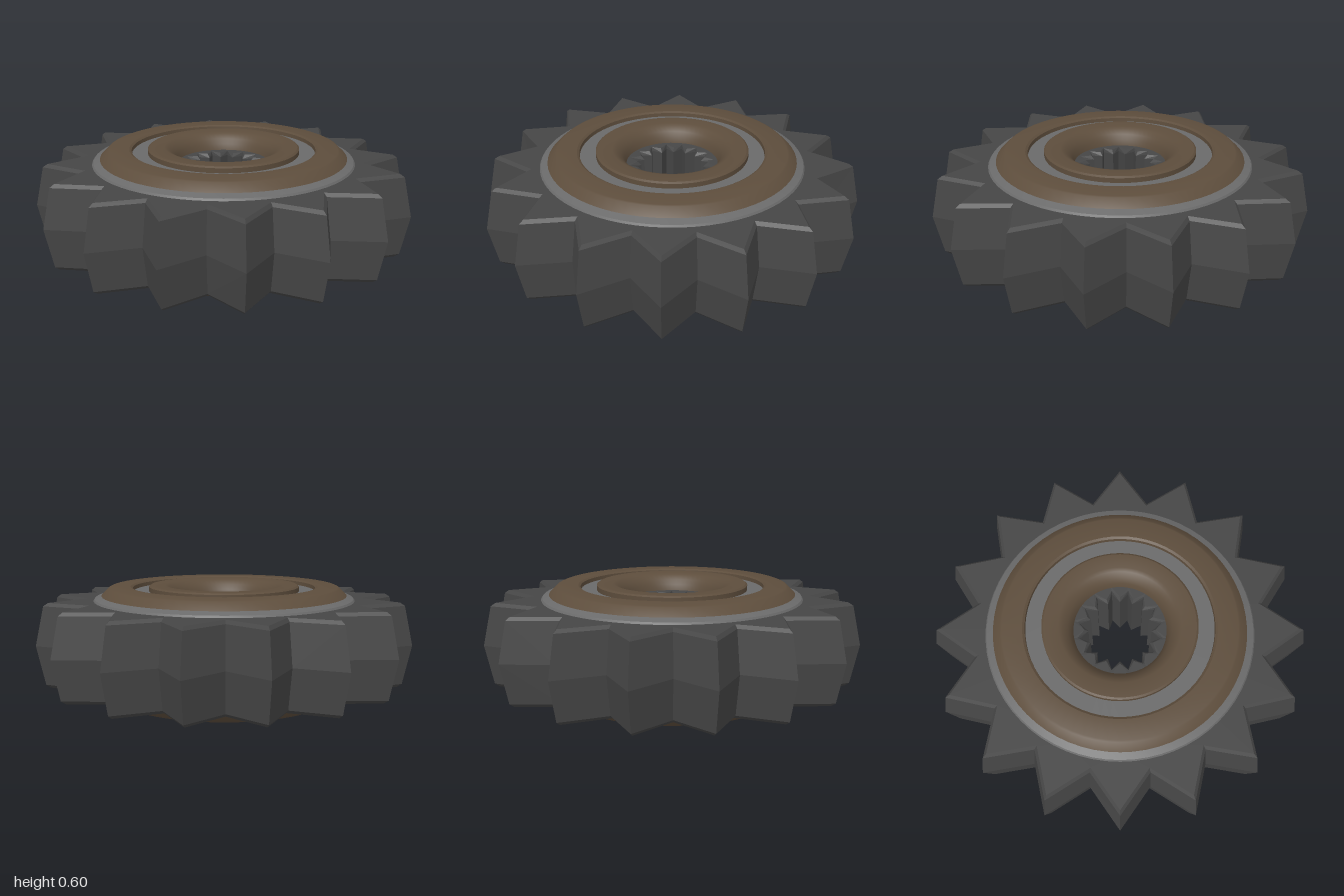
import * as THREE from 'three';
import { toCreasedNormals } from 'three/addons/utils/BufferGeometryUtils.js';

const TEETH = 16;
const HEIGHT = 0.6;

// Skin of toothed rings; each ring is [radius at tips, radius at valleys, y]
function toothedSkin(rings) {
  const n = TEETH * 2;
  const point = ([tip, valley, y], i) => {
    const a = (i / n) * Math.PI * 2;
    const r = i % 2 ? valley : tip;
    return [r * Math.sin(a), y, r * Math.cos(a)];
  };
  const pos = [];
  for (let k = 0; k < rings.length - 1; k++) {
    for (let i = 0; i < n; i++) {
      const a = point(rings[k], i), b = point(rings[k], i + 1);
      const c = point(rings[k + 1], i + 1), d = point(rings[k + 1], i);
      // split both flanks of a tooth symmetrically
      if (i % 2) pos.push(...a, ...b, ...c, ...a, ...c, ...d);
      else pos.push(...a, ...b, ...d, ...b, ...c, ...d);
    }
  }
  const g = new THREE.BufferGeometry();
  g.setAttribute('position', new THREE.Float32BufferAttribute(pos, 3));
  g.computeVertexNormals();
  return g;
}

function lathe(points) {
  const g = new THREE.LatheGeometry(points.map(p => new THREE.Vector2(...p)), 64);
  return toCreasedNormals(g, 0.5);
}

export function createModel() {
  const steel = new THREE.MeshStandardMaterial({ color: 0x464646 });
  steel.name = 'dark steel';
  const grey = new THREE.MeshStandardMaterial({ color: 0x6a6a6a });
  grey.name = 'light grey metal';
  const bronze = new THREE.MeshStandardMaterial({ color: 0x5d4d3c });
  bronze.name = 'bronze';

  const model = new THREE.Group();
  model.name = 'gear';
  const add = (parent, name, geometry, material) => {
    const mesh = new THREE.Mesh(geometry, material);
    mesh.name = name;
    parent.add(mesh);
  };
  const mirrored = rings => rings.map(([t, v, y]) => [t, v, HEIGHT - y]).reverse();

  // Outer toothed rim, bulging at mid height and chamfered at both faces
  const rimTop = [[0.955, 0.76, 0.508], [0.93, 0.74, 0.525], [0.66, 0.66, 0.525]];
  add(model, 'toothedRim', toothedSkin([...mirrored(rimTop), [1, 0.795, 0.3], ...rimTop]), steel);

  // Splined bore
  const boreTop = [[0.25, 0.25, 0.512], [0.185, 0.225, 0.51], [0.165, 0.215, 0.49]];
  add(model, 'splinedBore', toothedSkin([...boreTop, ...mirrored(boreTop)]), steel);

  // Hub faces: identical above and below
  for (const side of ['top', 'bottom']) {
    const hub = new THREE.Group();
    hub.name = side + 'Hub';
    add(hub, 'collar', lathe([[0.7, 0.52], [0.69, 0.535], [0.655, 0.55]]), grey);
    add(hub, 'outerPlate', lathe([
      [0.655, 0.55], [0.615, 0.589], [0.605, 0.593], [0.5, 0.595], [0.488, 0.588], [0.486, 0.565],
    ]), bronze);
    add(hub, 'grooveFloor', lathe([[0.49, 0.568], [0.398, 0.568]]), grey);
    add(hub, 'innerPlate', lathe([
      [0.402, 0.565], [0.402, 0.593], [0.392, 0.6], [0.315, 0.6], [0.295, 0.593],
      [0.268, 0.57], [0.25, 0.543], [0.242, 0.51],
    ]), bronze);
    if (side === 'bottom') {
      hub.rotation.x = Math.PI;
      hub.position.y = HEIGHT;
    }
    model.add(hub);
  }
  return model;
}
